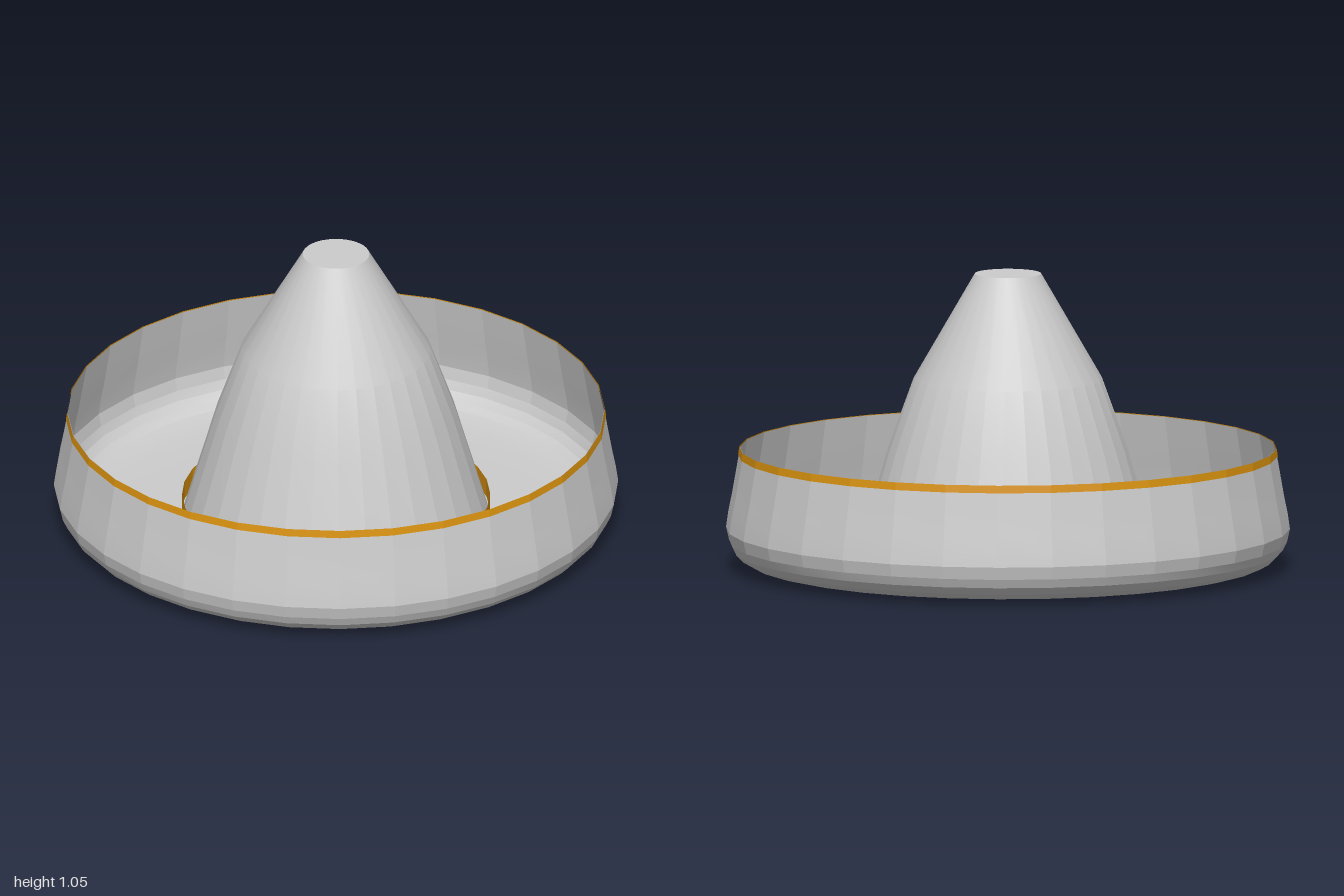
import * as THREE from 'three';
import { toCreasedNormals } from 'three/addons/utils/BufferGeometryUtils.js';

const SIDES = 32;
const felt = new THREE.MeshStandardMaterial({ color: 0xcccccc, side: THREE.DoubleSide });
const gold = new THREE.MeshStandardMaterial({ color: 0xd9920f, side: THREE.DoubleSide });

// Faceted thin shell turned from a [radius, height] profile
function turned(name, profile, material) {
  const points = profile.map(([r, y]) => new THREE.Vector2(r, y));
  const geometry = toCreasedNormals(new THREE.LatheGeometry(points, SIDES), 0.18);
  const mesh = new THREE.Mesh(geometry, material);
  mesh.name = name;
  return mesh;
}

export function createModel() {
  const hat = new THREE.Group();
  hat.name = 'sombrero';

  // Wide brim with a rounded bottom edge and an upturned, slightly leaning wall
  hat.add(turned('brim', [
    [0.55, 0], [0.7, 0.002], [0.82, 0.008], [0.88, 0.015], [0.92, 0.025],
    [0.95, 0.042], [0.975, 0.068], [0.99, 0.1], [1, 0.145], [0.992, 0.2],
    [0.978, 0.27], [0.964, 0.35], [0.95, 0.43],
  ], felt));

  // Hollow tapering crown, open underneath, with a flat closed tip
  hat.add(turned('crown', [[0.55, 0], [0.425, 0.43], [0.335, 0.68], [0.118, 1.055]], felt));
  const tip = new THREE.Mesh(new THREE.CircleGeometry(0.118, SIDES), felt);
  tip.name = 'crownTip';
  tip.rotation.x = -Math.PI / 2;
  tip.position.y = 1.055;
  hat.add(tip);

  // Gold trim on the brim edge and around the foot of the crown
  hat.add(turned('brimTrim', [[0.957, 0.405], [0.953, 0.432]], gold));
  hat.add(turned('crownBand', [[0.546, 0.03], [0.546, 0.1]], gold));

  hat.scale.z = 0.985;
  return hat;
}
